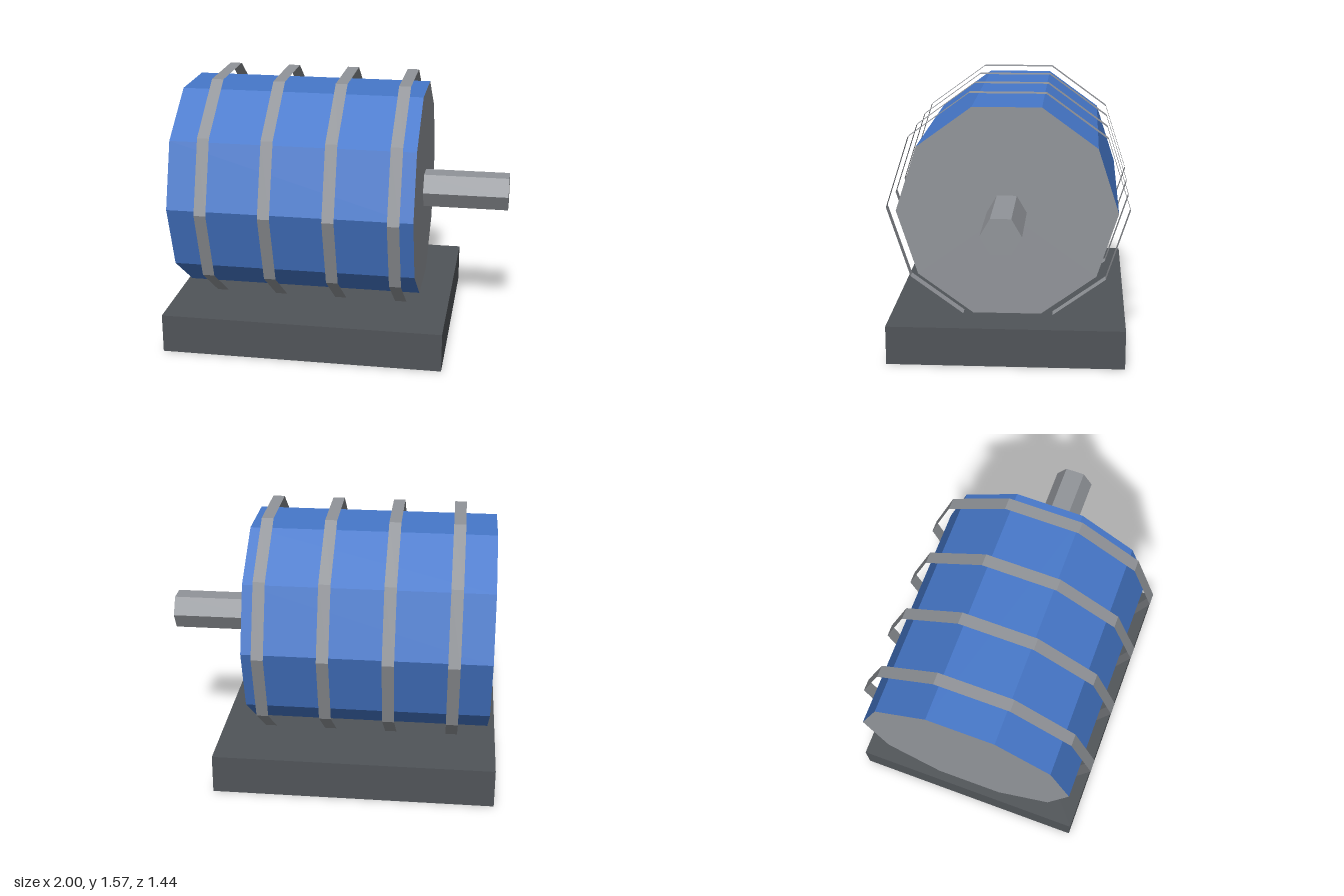
import * as THREE from 'three';

const AXIS_Y = 0.885; // height of the drum and shaft axis

function flat(name, color) {
  const m = new THREE.MeshStandardMaterial({ color, flatShading: true, side: THREE.DoubleSide });
  m.name = name;
  return m;
}

// Prism lying along x, with a corner pointing to +z
function prism(name, radius, x0, x1, sides, material, open = false) {
  const geo = new THREE.CylinderGeometry(radius, radius, x1 - x0, sides, 1, open);
  geo.rotateZ(-Math.PI / 2);
  const mesh = new THREE.Mesh(geo, material);
  mesh.name = name;
  mesh.position.set((x0 + x1) / 2, AXIS_Y, 0);
  return mesh;
}

export function createModel() {
  const blue = flat('blue paint', 0x4678ca);
  const steel = flat('grey steel', 0x919499);
  const dark = flat('dark grey', 0x505458);

  const model = new THREE.Group();
  model.name = 'motor';

  // Base: a box open underneath
  const baseGeo = new THREE.BoxGeometry(1.67, 0.233, 1.4);
  const idx = Array.from(baseGeo.index.array);
  idx.splice(18, 6); // drop the bottom face
  baseGeo.setIndex(idx);
  baseGeo.clearGroups();
  const base = new THREE.Mesh(baseGeo, dark);
  base.name = 'base';
  base.position.set(-0.165, 0.1165, 0);
  model.add(base);

  // Drum: blue sides with steel end caps
  model.add(prism('drum', 0.65, -0.955, 0.487, 10, [blue, steel, steel]));

  // Drive shaft
  model.add(prism('shaft', 0.116, 0.4, 1, 6, steel));

  // Cooling bands: open hoops standing off the drum
  for (let i = 0; i < 4; i++) {
    const x = -0.736 + i * 0.372;
    model.add(prism('band' + (i + 1), 0.72, x - 0.035, x + 0.035, 10, steel, true));
  }

  return model;
}
